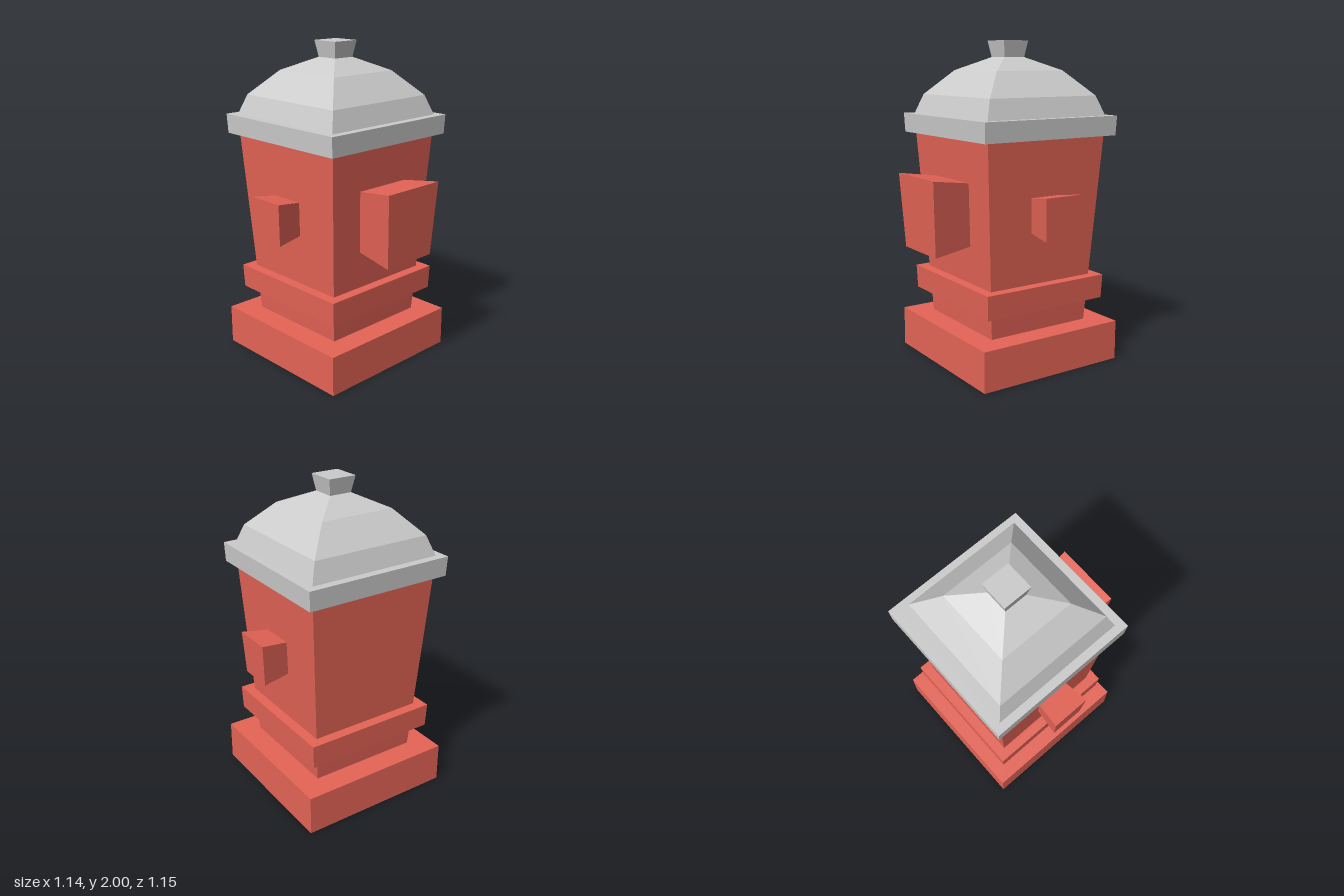
import * as THREE from 'three';

const CENTRE_Z = -0.08;
const red = new THREE.MeshStandardMaterial({ color: 0xe56456, flatShading: true, side: THREE.DoubleSide });
const grey = new THREE.MeshStandardMaterial({ color: 0xcccccc, flatShading: true, side: THREE.DoubleSide });

// Square shell from a profile of [half width, height], bottom to top
function squareShell(name, material, profile) {
  const points = profile.map(([half, y]) => new THREE.Vector2(half * Math.SQRT2, y));
  const mesh = new THREE.Mesh(new THREE.LatheGeometry(points, 4, Math.PI / 4), material);
  mesh.name = name;
  return mesh;
}

// Flared block pointing along +z; each corner row is [half width, y, z]
function flaredBlock(name, { innerTop, innerBottom, outerTop, outerBottom }) {
  const geometry = new THREE.BoxGeometry(1, 1, 1);
  const p = geometry.attributes.position;
  for (let i = 0; i < p.count; i++) {
    const top = p.getY(i) > 0;
    const outer = p.getZ(i) > 0;
    const [half, y, z] = outer ? (top ? outerTop : outerBottom) : (top ? innerTop : innerBottom);
    p.setXYZ(i, Math.sign(p.getX(i)) * half, y, z);
  }
  geometry.computeVertexNormals();
  const mesh = new THREE.Mesh(geometry, red);
  mesh.name = name;
  return mesh;
}

export function createModel() {
  const model = new THREE.Group();
  model.name = 'fireHydrant';

  // Hollow column: base, neck, belt and tapered barrel, open underneath
  const column = squareShell('column', red, [
    [0.496, 0], [0.496, 0.25],
    [0.35, 0.25], [0.36, 0.4],
    [0.426, 0.4], [0.432, 0.55],
    [0.368, 0.55], [0.422, 1.43],
  ]);

  // Cap: rim, stepped dome and flared knob
  const cap = squareShell('cap', grey, [
    [0.422, 1.43], [0.473, 1.43], [0.478, 1.55],
    [0.427, 1.55], [0.384, 1.67], [0.24, 1.82], [0.072, 1.9],
    [0.09, 2], [0, 2],
  ]);

  const body = new THREE.Group();
  body.name = 'body';
  body.position.z = CENTRE_Z;
  body.add(column, cap);

  // Large front outlet
  body.add(flaredBlock('frontOutlet', {
    innerTop: [0.19, 1.173, 0.405], innerBottom: [0.166, 0.786, 0.381],
    outerTop: [0.214, 1.207, 0.655], outerBottom: [0.186, 0.75, 0.63],
  }));

  // Small outlet on each side
  for (const side of [-1, 1]) {
    const outlet = flaredBlock(side > 0 ? 'leftOutlet' : 'rightOutlet', {
      innerTop: [0.106, 1.086, 0.4], innerBottom: [0.094, 0.871, 0.386],
      outerTop: [0.123, 1.11, 0.571], outerBottom: [0.108, 0.848, 0.555],
    });
    outlet.rotation.y = side * Math.PI / 2;
    body.add(outlet);
  }

  model.add(body);
  return model;
}
